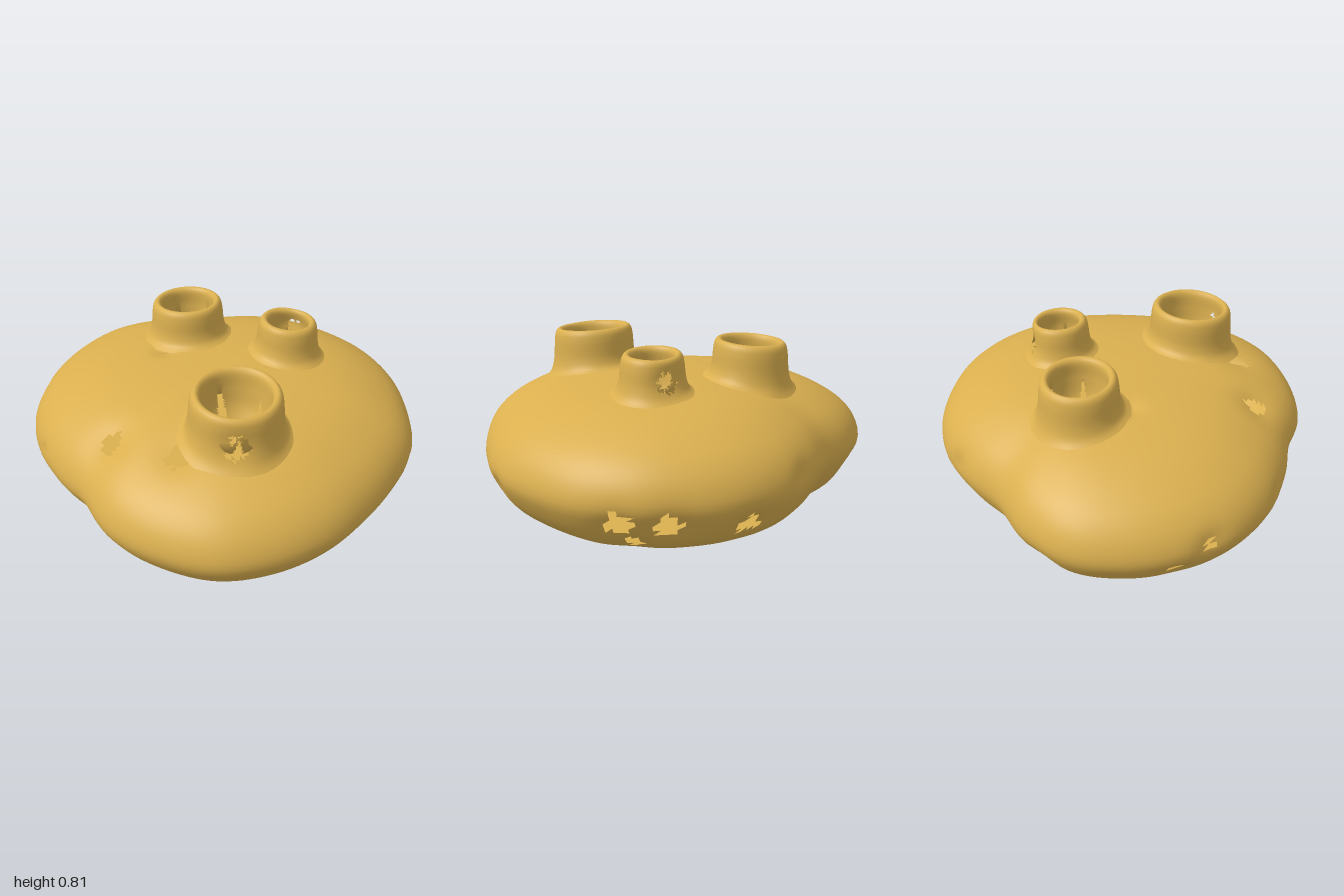
import * as THREE from 'three';
import { mergeVertices } from 'three/addons/utils/BufferGeometryUtils.js';

const TAU = Math.PI * 2;

// Plan outline: radius every 15 degrees, turning from +x towards +z
const radii = [0.975, 1.01, 1.04, 1.055, 1.02, 0.975, 0.905, 0.92, 0.96, 0.99, 1.0, 1.0,
  0.985, 0.915, 0.825, 0.845, 0.89, 0.925, 0.95, 0.98, 0.99, 0.985, 0.99, 0.97];
const outline = new THREE.CatmullRomCurve3(radii.map((r, i) =>
  new THREE.Vector3(r * Math.cos(i / 24 * TAU), 0, r * Math.sin(i / 24 * TAU))), true);
const radiusAt = a => outline.getPoint(((a / TAU) % 1 + 1) % 1).length();

// Side profile: fraction of the outline radius, height
const topProfile = [[1, 0.25], [0.975, 0.34], [0.91, 0.42], [0.8, 0.49], [0.65, 0.55],
  [0.45, 0.59], [0.2, 0.61], [0, 0.613]];
const profile = [[0, 0], [0.4, 0], [0.76, 0], [0.82, 0.012], [0.9, 0.07], [0.965, 0.16], ...topProfile];

function bodyHeight(x, z) {
  const f = Math.hypot(x, z) / radiusAt(Math.atan2(z, x));
  for (let i = 1; i < topProfile.length; i++) {
    const [f0, y0] = topProfile[i - 1], [f1, y1] = topProfile[i];
    if (f >= f1) return y0 + (y1 - y0) * (f0 - f) / (f0 - f1);
  }
  return 0.61;
}

// Chimneys: centre x, z, outer radius, pores on the wall
const chimneys = [
  { name: 'rightChimney', x: -0.37, z: -0.10, r: 0.19, top: 0.79, pores: [] },
  { name: 'backChimney', x: 0.135, z: -0.335, r: 0.155, top: 0.785, pores: [[0.07, 0.67, -0.47, 0.06]] },
  { name: 'frontChimney', x: 0.415, z: 0.315, r: 0.215, top: 0.795, pores: [[0.57, 0.64, 0.46, 0.07]] },
];

// Body pores: position, radius of the ragged hole (0 is only a dimple)
const bodyPores = [
  [0.01, 0.48, 0.71, 0.065], [0.34, 0.55, 0.59, 0.075], [0.0, 0.13, 0.87, 0.065],
  [0.16, 0.06, 0.86, 0.065], [-0.79, 0.28, 0.6, 0.035], [-0.83, 0.14, 0.45, 0.035],
  [-0.4, 0.3, 0.86, 0], [0.9, 0.2, -0.46, 0.02], [0.33, 0.18, -0.9, 0.075],
  [0.1, 0.18, -0.93, 0.07], [0.25, 0.05, -0.82, 0.05], [-0.25, 0.12, -0.82, 0.065],
  [-0.5, 0.28, -0.68, 0.025], [-0.85, 0.14, -0.15, 0.045], [-0.31, 0.6, 0.13, 0.025],
];

// Ragged edge factor around a hole
const ragged = a => 0.88 + 0.14 * Math.sin(7 * a) + 0.1 * Math.sin(11 * a + 1);

// Dent the surface round each pore, then leave out the triangles inside it
function pierce(geometry, pores, extraCut) {
  const pos = geometry.attributes.position, v = new THREE.Vector3(), n = new THREE.Vector3();
  geometry.computeVertexNormals();
  const normal = geometry.attributes.normal.clone();
  const holes = pores.map(([x, y, z, r]) => {
    const target = new THREE.Vector3(x, y, z), centre = new THREE.Vector3();
    let best = Infinity;
    for (let i = 0; i < pos.count; i++) {
      const d = v.fromBufferAttribute(pos, i).distanceTo(target);
      if (d < best) { best = d; centre.copy(v); }
    }
    return { centre, r };
  });
  for (let i = 0; i < pos.count; i++) {
    v.fromBufferAttribute(pos, i);
    n.fromBufferAttribute(normal, i);
    let depth = 0;
    for (const h of holes) {
      const w = h.r + 0.03;
      depth += 0.02 * Math.exp(-v.distanceToSquared(h.centre) / (w * w));
    }
    v.addScaledVector(n, -depth);
    pos.setXYZ(i, v.x, v.y, v.z);
  }
  geometry.computeVertexNormals();
  const index = geometry.index.array, kept = [], c = new THREE.Vector3();
  for (let t = 0; t < index.length; t += 3) {
    c.set(0, 0, 0);
    for (let k = 0; k < 3; k++) c.add(v.fromBufferAttribute(pos, index[t + k]));
    c.divideScalar(3);
    const inHole = holes.some(h => {
      const d = c.clone().sub(h.centre);
      return d.length() < h.r * ragged(Math.atan2(d.y + 0.6 * d.z, d.x - 0.6 * d.z));
    });
    if (!inHole && !extraCut(c)) kept.push(index[t], index[t + 1], index[t + 2]);
  }
  geometry.setIndex(kept);
  return geometry;
}

// Hollow flat-bottomed body swept from the profile and the outline
function bodyGeometry() {
  const curve = new THREE.CatmullRomCurve3(profile.map(([f, y]) => new THREE.Vector3(f, y, 0)), false, 'centripetal');
  const rows = curve.getSpacedPoints(76), segs = 168, points = [], index = [];
  rows.forEach((p, i) => {
    for (let j = 0; j < segs; j++) {
      const a = j / segs * TAU, r = Math.max(p.x, 0) * radiusAt(a);
      points.push(r * Math.cos(a), Math.max(p.y, 0), r * Math.sin(a));
      if (i === rows.length - 1) continue;
      const a0 = i * segs + j, b0 = i * segs + (j + 1) % segs;
      index.push(a0, a0 + segs, b0, b0, a0 + segs, b0 + segs);
    }
  });
  const g = new THREE.BufferGeometry();
  g.setAttribute('position', new THREE.Float32BufferAttribute(points, 3));
  g.setIndex(index);
  return pierce(g, bodyPores, c => c.y > 0.4 &&
    chimneys.some(k => Math.hypot(c.x - k.x, c.z - k.z) < k.r * 0.98));
}

// Chimney: flared foot, rounded rim, funnel ending in ragged teeth
function chimneyGeometry({ x, z, r, top, pores }) {
  const base = bodyHeight(x, z);
  const section = [[r + 0.055, base - 0.005], [r + 0.022, base + 0.018], [r + 0.005, base + 0.06],
    [r - 0.005, top - 0.05], [r - 0.014, top - 0.015], [r - 0.032, top], [r - 0.05, top - 0.015],
    [r * 0.72, top - 0.1], [r * 0.64, top - 0.2], [r * 0.4, top - 0.28], [r * 0.1, top - 0.31]];
  const curve = new THREE.CatmullRomCurve3(section.map(([a, b]) => new THREE.Vector3(a, b, 0)), false, 'centripetal');
  const line = curve.getSpacedPoints(48).map(p => new THREE.Vector2(p.x, p.y));
  let g = new THREE.LatheGeometry(line, 72);
  g.deleteAttribute('uv');
  g.deleteAttribute('normal');
  g = mergeVertices(g, 1e-5);
  g.translate(x, 0, z);
  const pos = g.attributes.position, len = Math.hypot(x, z);
  for (let i = 0; i < pos.count; i++) {
    const px = pos.getX(i), py = pos.getY(i), pz = pos.getZ(i);
    const d = Math.hypot(px - x, pz - z);
    // The foot follows the body, the rim tips slightly outwards
    const foot = d > r * 0.9 ? THREE.MathUtils.clamp((base + 0.09 - py) / 0.09, 0, 1) : 0;
    const tip = -0.06 * ((px - x) * x + (pz - z) * z) / len;
    pos.setY(i, py + foot * (bodyHeight(px, pz) - base) + (1 - foot) * tip);
  }
  return pierce(g, pores, c => {
    const a = Math.atan2(c.z - z, c.x - x), d = Math.hypot(c.x - x, c.z - z);
    const tooth = 0.48 + 0.17 * Math.sin(5 * a + x * 9) + 0.14 * Math.sin(9 * a + 2);
    return c.y < top - 0.06 && d < r * tooth;
  });
}

export function createModel() {
  const ochre = new THREE.MeshStandardMaterial({ color: 0xdaaf4f, side: THREE.DoubleSide });
  ochre.name = 'ochre';
  const group = new THREE.Group();
  group.name = 'sponge';
  const add = (name, geometry) => {
    const mesh = new THREE.Mesh(geometry, ochre);
    mesh.name = name;
    group.add(mesh);
  };
  add('body', bodyGeometry());
  chimneys.forEach(k => add(k.name, chimneyGeometry(k)));
  return group;
}
